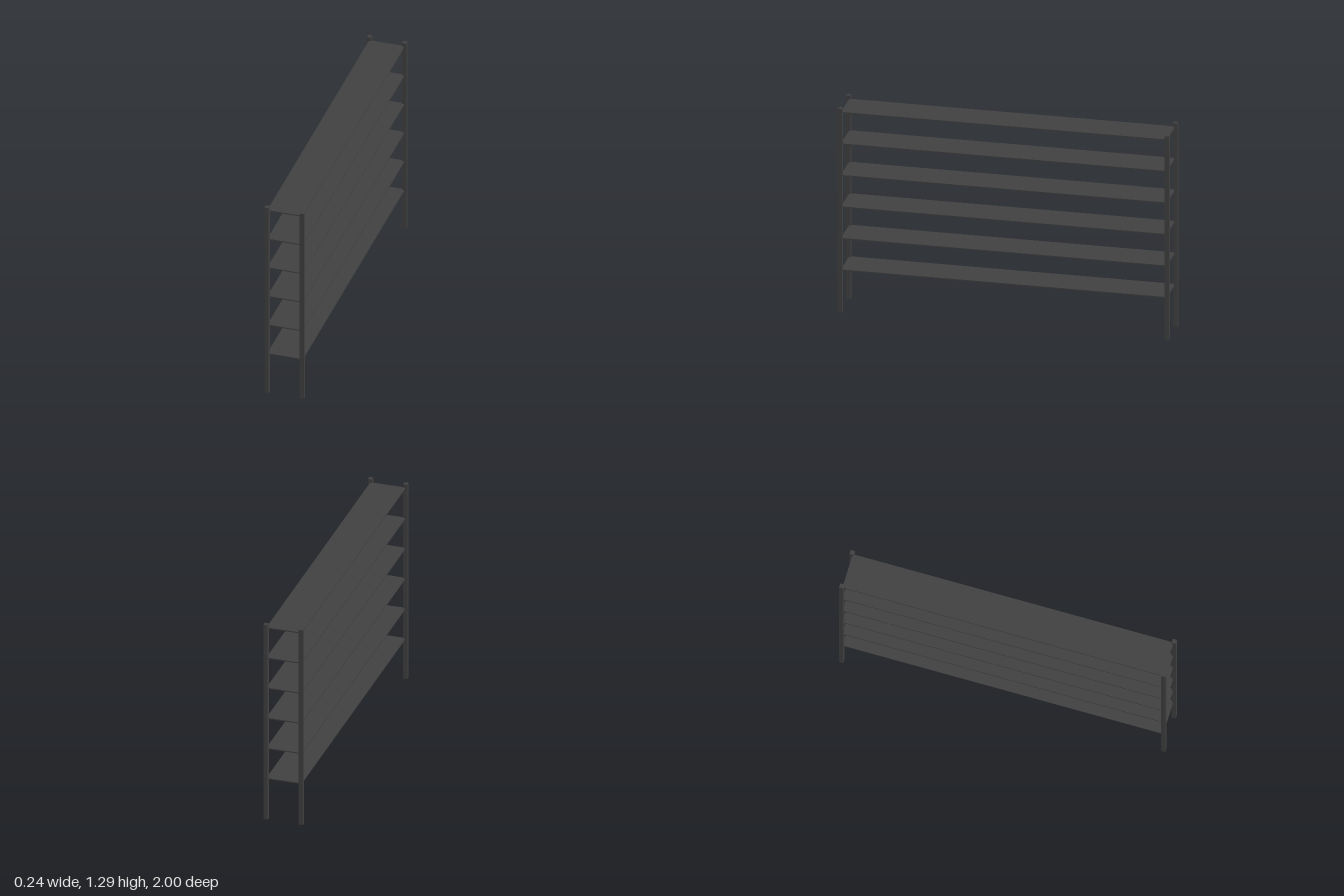
import * as THREE from 'three';

export function createModel() {
  const group = new THREE.Group();
  const metal = new THREE.MeshStandardMaterial({ color: 0x404040 });

  const POST = 0.026, HEIGHT = 1.286;
  const PX = 0.109, PZ = 1 - POST / 2; // post centres

  const addBox = (name, w, h, d, x, y, z) => {
    const mesh = new THREE.Mesh(new THREE.BoxGeometry(w, h, d), metal);
    mesh.name = name;
    mesh.position.set(x, y, z);
    group.add(mesh);
  };

  // Four corner posts
  for (const sx of [-1, 1]) {
    for (const sz of [-1, 1]) {
      const name = (sz > 0 ? 'front' : 'back') + (sx > 0 ? 'Left' : 'Right') + 'Post';
      addBox(name, POST, HEIGHT, POST, sx * PX, HEIGHT / 2, sz * PZ);
    }
  }

  // Six thin shelves, their corners set into the posts
  for (let i = 0; i < 6; i++) {
    addBox('shelf' + (i + 1), PX * 2, 0.007, 1.966, 0, 0.263 + i * 0.199, 0);
  }

  return group;
}
